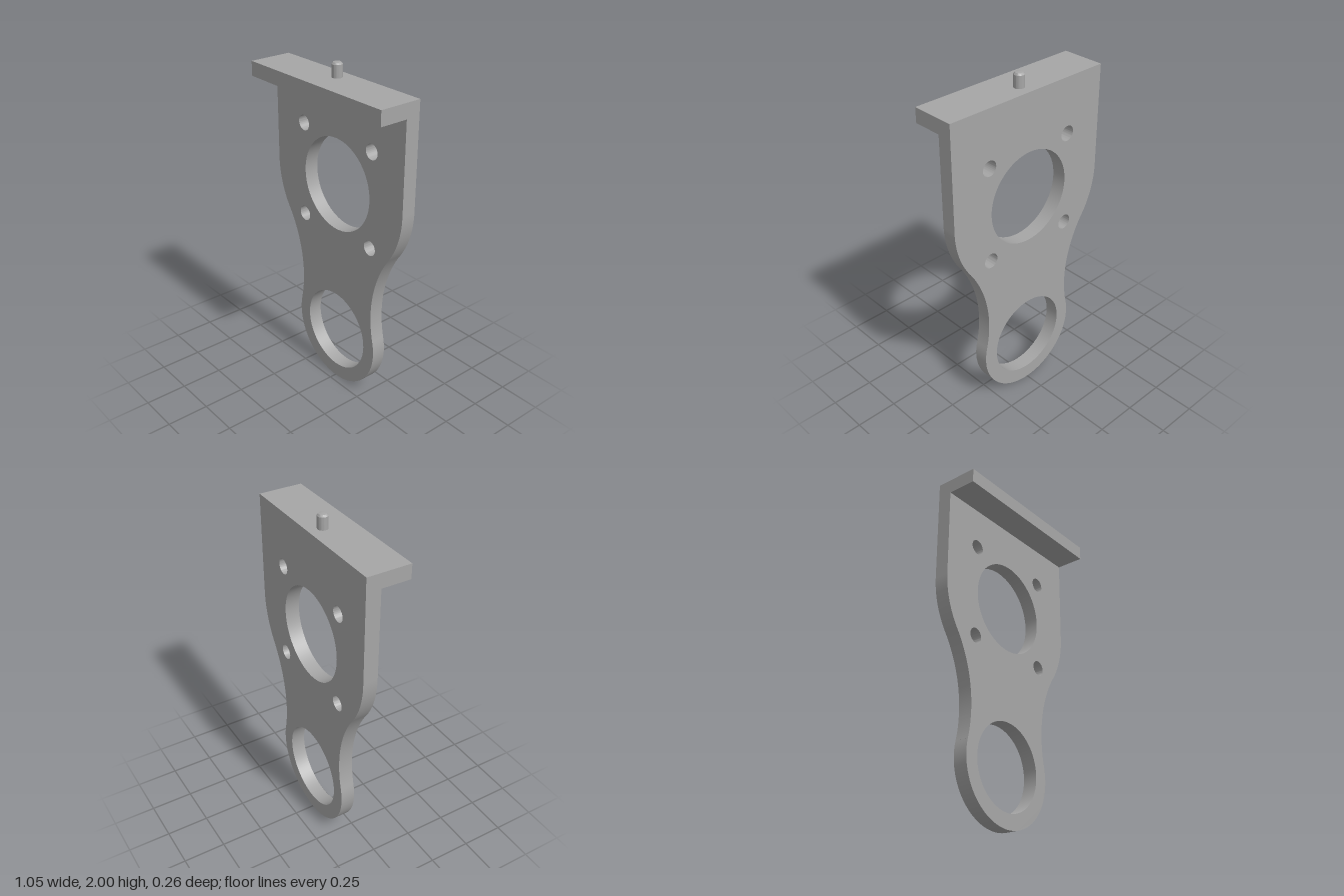
import * as THREE from 'three';
import { toCreasedNormals } from 'three/addons/utils/BufferGeometryUtils.js';

const HALF_WIDTH = 0.527, TOP = 1.915;
const BACK = -0.128, FRONT = -0.042, LEDGE_FRONT = 0.128;
const UPPER_Y = 1.302, LOWER_Y = 0.337, RING = 0.337;

// Plate outline: square top, round shoulders, concave waist, round lower ring
function plateShape() {
  const waist = { x: 1.044, y: 0.59, r: 0.737 };
  const up = Math.atan2(UPPER_Y - waist.y, waist.x);
  const low = Math.atan2(waist.y - LOWER_Y, waist.x);
  const s = new THREE.Shape();
  s.moveTo(HALF_WIDTH, TOP);
  s.lineTo(-HALF_WIDTH, TOP);
  s.lineTo(-HALF_WIDTH, UPPER_Y);
  s.absarc(0, UPPER_Y, HALF_WIDTH, Math.PI, Math.PI + up, false);
  s.absarc(-waist.x, waist.y, waist.r, up, -low, true);
  s.absarc(0, LOWER_Y, RING, Math.PI - low, 2 * Math.PI + low, false);
  s.absarc(waist.x, waist.y, waist.r, Math.PI + low, Math.PI - up, true);
  s.absarc(0, UPPER_Y, HALF_WIDTH, -up, 0, false);
  s.closePath();

  const hole = (x, y, r) => s.holes.push(new THREE.Path().absarc(x, y, r, 0, Math.PI * 2, true));
  hole(0, UPPER_Y, 0.275);
  hole(0, 0.341, 0.252);
  for (const sx of [-1, 1]) for (const sy of [-1, 1]) hole(sx * 0.283, UPPER_Y + sy * 0.283, 0.045);
  return s;
}

export function createModel() {
  const group = new THREE.Group();
  group.name = 'mountingBracket';
  const metal = new THREE.MeshStandardMaterial({ color: 0xa6a6a6 });
  metal.name = 'grey metal';

  const add = (name, geometry) => {
    const mesh = new THREE.Mesh(geometry, metal);
    mesh.name = name;
    group.add(mesh);
    return mesh;
  };

  // Upright plate with bores and screw holes
  const plate = new THREE.ExtrudeGeometry(plateShape(), {
    depth: FRONT - BACK, bevelEnabled: false, curveSegments: 32,
  });
  add('plate', toCreasedNormals(plate, 0.5)).position.z = BACK;

  // Ledge along the top edge, projecting forward
  const ledgeHeight = 0.085;
  add('ledge', new THREE.BoxGeometry(HALF_WIDTH * 2, ledgeHeight, LEDGE_FRONT - FRONT))
    .position.set(0, TOP - ledgeHeight / 2, (LEDGE_FRONT + FRONT) / 2);

  // Locating pin with a softened tip
  const profile = [[0.03, TOP - 0.02], [0.03, 1.986], [0.022, 1.996], [0, 2]]
    .map(([x, y]) => new THREE.Vector2(x, y));
  add('pin', toCreasedNormals(new THREE.LatheGeometry(profile, 32), 0.5)).position.z = -0.045;

  return group;
}
